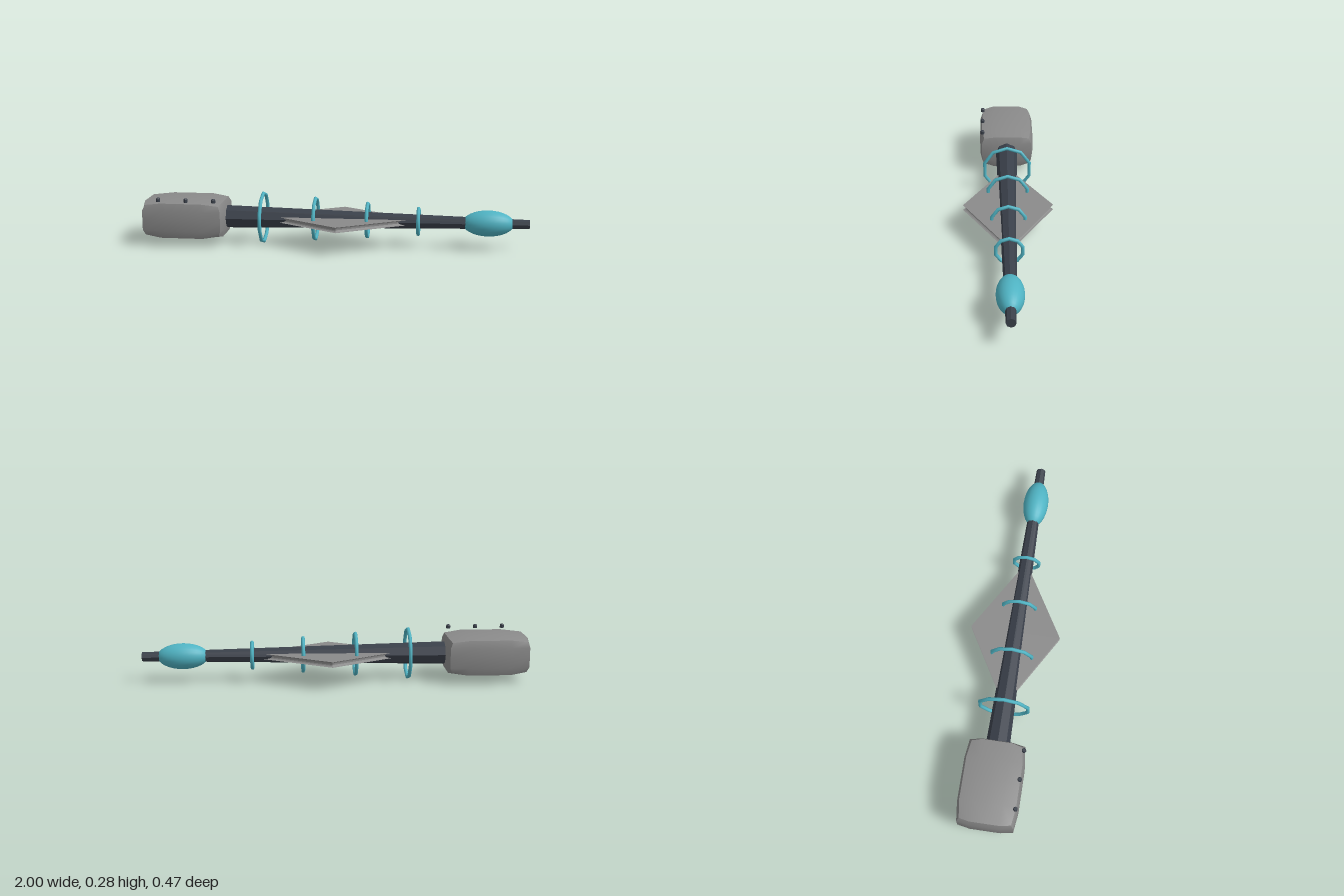
import * as THREE from 'three';

const AXIS_Y = 0.1415;

export function createModel() {
  const model = new THREE.Group();
  const grey = new THREE.MeshStandardMaterial({ name: 'casing grey', color: 0x8a8a8a });
  const teal = new THREE.MeshStandardMaterial({ name: 'teal', color: 0x4fb3c3 });
  const dark = new THREE.MeshStandardMaterial({ name: 'dark steel', color: 0x3a404a });

  const add = (name, geometry, material, x, y = AXIS_Y, z = 0) => {
    const mesh = new THREE.Mesh(geometry, material);
    mesh.name = name;
    mesh.position.set(x, y, z);
    model.add(mesh);
    return mesh;
  };
  const faceted = (geometry) => {
    const flat = geometry.toNonIndexed();
    flat.computeVertexNormals();
    return flat;
  };

  // Long tapering eight-sided barrel
  const barrel = new THREE.CylinderGeometry(0.024, 0.061, 1.6, 8);
  barrel.rotateZ(-Math.PI / 2);
  add('barrel', faceted(barrel), dark, 0.2);

  // Rear casing: a box whose edges and corners are pulled in
  const half = [0.217, 0.103, 0.151];
  const casing = new THREE.BoxGeometry(2, 2, 2, 4, 4, 4);
  const pos = casing.attributes.position;
  for (let i = 0; i < pos.count; i++) {
    const p = [pos.getX(i), pos.getY(i), pos.getZ(i)];
    const extremes = p.filter((v) => Math.abs(v) > 0.99).length;
    const q = p.map((v, a) => {
      const pull = Math.abs(v) > 0.99 ? 0.012 * (extremes - 1) : 0;
      return v * half[a] - Math.sign(v) * pull;
    });
    pos.setXYZ(i, ...q);
  }
  casing.computeVertexNormals();
  add('casing', casing, grey, -0.783);

  // Row of small knobs above the casing's front edge
  const knobProfile = [[0, 0], [0.011, 0], [0.011, 0.015], [0.008, 0.02], [0, 0.02]]
    .map(([r, y]) => new THREE.Vector2(r, y));
  for (const x of [-0.9, -0.755, -0.61]) {
    add('knob', faceted(new THREE.LatheGeometry(knobProfile, 8)), dark, x, 0.242, 0.137);
  }

  // Diamond fin with a groove along its rim
  const finProfile = [
    [0, -0.014], [1, -0.014], [0.96, -0.0125], [0.935, -0.009], [0.925, -0.004],
    [0.925, 0.004], [0.935, 0.009], [0.96, 0.0125], [1, 0.014], [0, 0.014],
  ].map(([r, y]) => new THREE.Vector2(r, y));
  const fin = new THREE.LatheGeometry(finProfile, 4);
  fin.scale(0.4, 1, 0.233);
  add('fin', faceted(fin), grey, 0.03, 0.141);

  // Ten-sided rings shrinking toward the tip
  const rings = [[-0.375, 0.138], [-0.1, 0.118], [0.172, 0.098], [0.435, 0.078]];
  const tube = 0.0095;
  for (const [x, outer] of rings) {
    const ring = new THREE.TorusGeometry(outer - tube, tube, 8, 10);
    ring.rotateZ(Math.PI / 2);
    ring.rotateY(Math.PI / 2);
    add('ring', ring, teal, x);
  }

  // Smooth bulb near the tip
  const bulb = new THREE.SphereGeometry(1, 24, 16);
  bulb.rotateZ(-Math.PI / 2);
  bulb.scale(0.131, 0.067, 0.067);
  add('bulb', bulb, teal, 0.791);

  return model;
}
